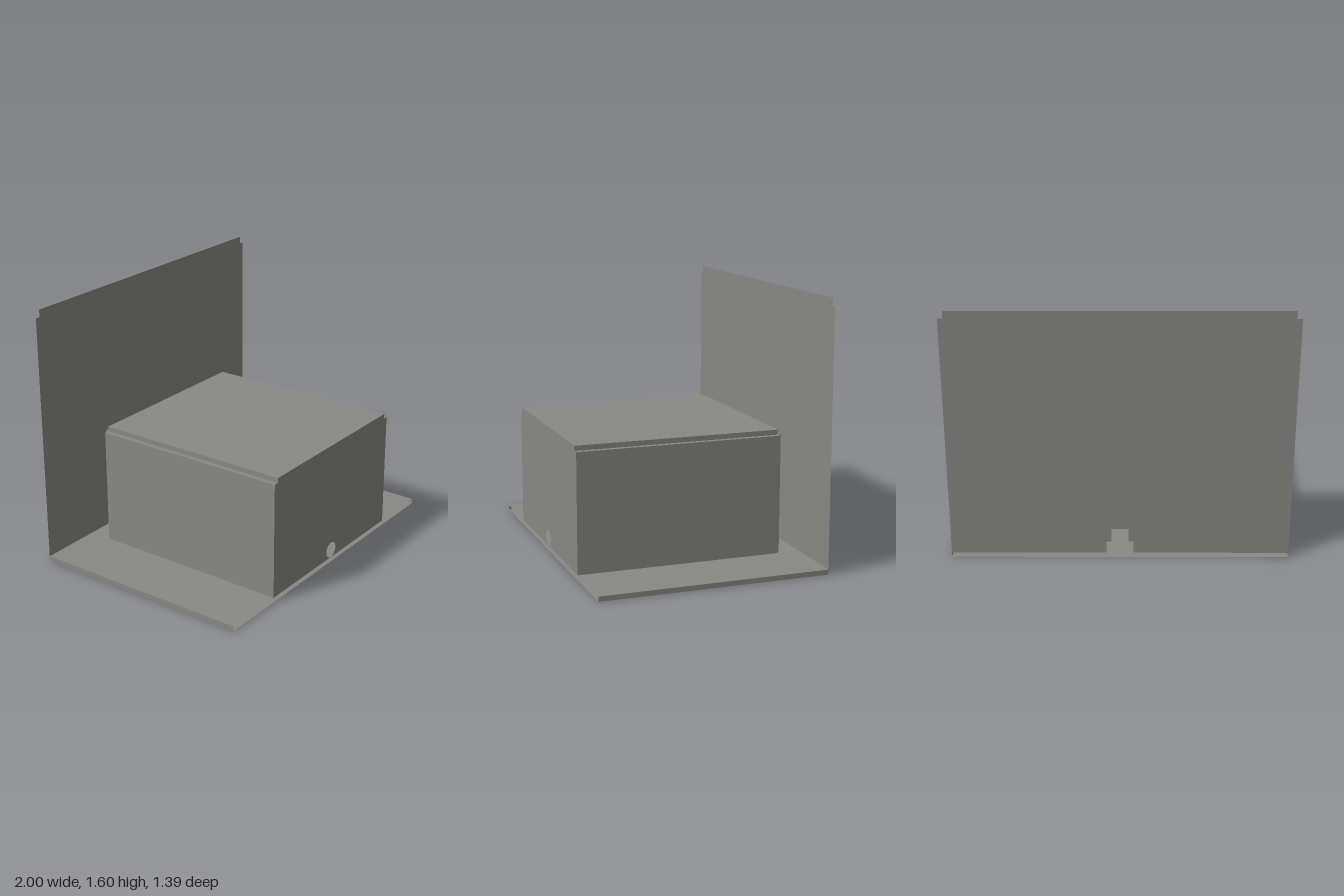
import * as THREE from 'three';

const card = new THREE.MeshStandardMaterial({ color: 0x888884, side: THREE.DoubleSide });
card.name = 'grey card';

const BASE = 0.03, BACK = -0.695, FRONT = 0.695;      // base top, wall and front planes
const BOX_W = 0.61, LID_W = 0.58, LEDGE = 0.75, LID = 0.78;
const BOX_BACK = -0.575, LID_BACK = -0.555;
const DUCT_W = 0.08, DUCT_H = 0.23;

export function createModel() {
  const model = new THREE.Group();
  model.name = 'cardDisplay';

  function section(name) {
    const g = new THREE.Group();
    g.name = name;
    model.add(g);
    return g;
  }
  function add(parent, name, geometry) {
    const m = new THREE.Mesh(geometry, card);
    m.name = name;
    parent.add(m);
    return m;
  }
  // Flat sheets: facing up, facing outwards along x, and outlined facing front
  function level(parent, name, y, x0, x1, z0, z1) {
    const g = new THREE.PlaneGeometry(x1 - x0, z1 - z0).rotateX(-Math.PI / 2);
    return add(parent, name, g.translate((x0 + x1) / 2, y, (z0 + z1) / 2));
  }
  function side(parent, name, x, y0, y1, z0, z1) {
    const g = new THREE.PlaneGeometry(z1 - z0, y1 - y0).rotateY(Math.sign(x) * Math.PI / 2);
    return add(parent, name, g.translate(x, (y0 + y1) / 2, (z0 + z1) / 2));
  }
  function upright(parent, name, z, points, hole) {
    const shape = new THREE.Shape(points.map(([x, y]) => new THREE.Vector2(x, y)));
    if (hole) shape.holes.push(hole);
    return add(parent, name, new THREE.ShapeGeometry(shape, 24).translate(0, 0, z));
  }
  const rect = (x0, x1, y0, y1) => [[x0, y0], [x1, y0], [x1, y1], [x0, y1]];
  // Outline with notched upper corners
  const notched = (w, inner, shoulder, top) => [
    [w, BASE], [w, shoulder], [inner, shoulder], [inner, top],
    [-inner, top], [-inner, shoulder], [-w, shoulder], [-w, BASE],
  ];
  // Outline with a doorway cut from the lower edge
  const doorway = (w, h) => [[-w, BASE], [-w, h], [w, h], [w, BASE]];

  // Base tray, open at the front and back
  const base = section('base');
  level(base, 'baseTop', BASE, -1, 1, BACK, FRONT);
  level(base, 'baseBottom', 0, -1, 1, BACK, FRONT).geometry.scale(1, 1, 1);
  for (const s of [-1, 1]) side(base, 'baseSide', s, 0, BASE, BACK, FRONT);

  // Tall back wall with a duct opening
  upright(model, 'backWall', BACK, [...notched(1, 0.97, 1.555, 1.6), ...doorway(DUCT_W, DUCT_H)]);

  // Box with stepped edges
  const box = section('box');
  const port = new THREE.Path().absarc(0, 0.081, 0.05, 0, Math.PI * 2, true);
  upright(box, 'boxFront', FRONT, notched(BOX_W, LID_W, LEDGE, LID), port);
  level(box, 'boxLid', LID, -LID_W, LID_W, LID_BACK, FRONT);
  upright(box, 'boxBack', BOX_BACK, [
    [LID_W, BASE], [LID_W, LEDGE], [-LID_W, LEDGE], [-LID_W, BASE], ...doorway(0.05, 0.12),
  ]);
  level(box, 'backLedge', LEDGE, -LID_W, LID_W, BOX_BACK, LID_BACK);
  upright(box, 'backRiser', LID_BACK, rect(-LID_W, LID_W, LEDGE, LID));
  for (const s of [-1, 1]) {
    const [a, b] = s > 0 ? [LID_W, BOX_W] : [-BOX_W, -LID_W];
    side(box, 'boxSide', s * BOX_W, BASE, LEDGE, LID_BACK, FRONT);
    level(box, 'sideLedge', LEDGE, a, b, LID_BACK, FRONT);
    side(box, 'sideRiser', s * LID_W, LEDGE, LID, LID_BACK, FRONT);
    side(box, 'backCornerSide', s * LID_W, BASE, LEDGE, BOX_BACK, LID_BACK);
    upright(box, 'backCorner', LID_BACK, rect(a, b, BASE, LEDGE));
  }

  // Duct joining the box to the wall opening
  const duct = section('duct');
  level(duct, 'ductTop', DUCT_H, -DUCT_W, DUCT_W, BACK, BOX_BACK);
  for (const s of [-1, 1]) side(duct, 'ductSide', s * DUCT_W, BASE, DUCT_H, BACK, BOX_BACK);

  return model;
}
